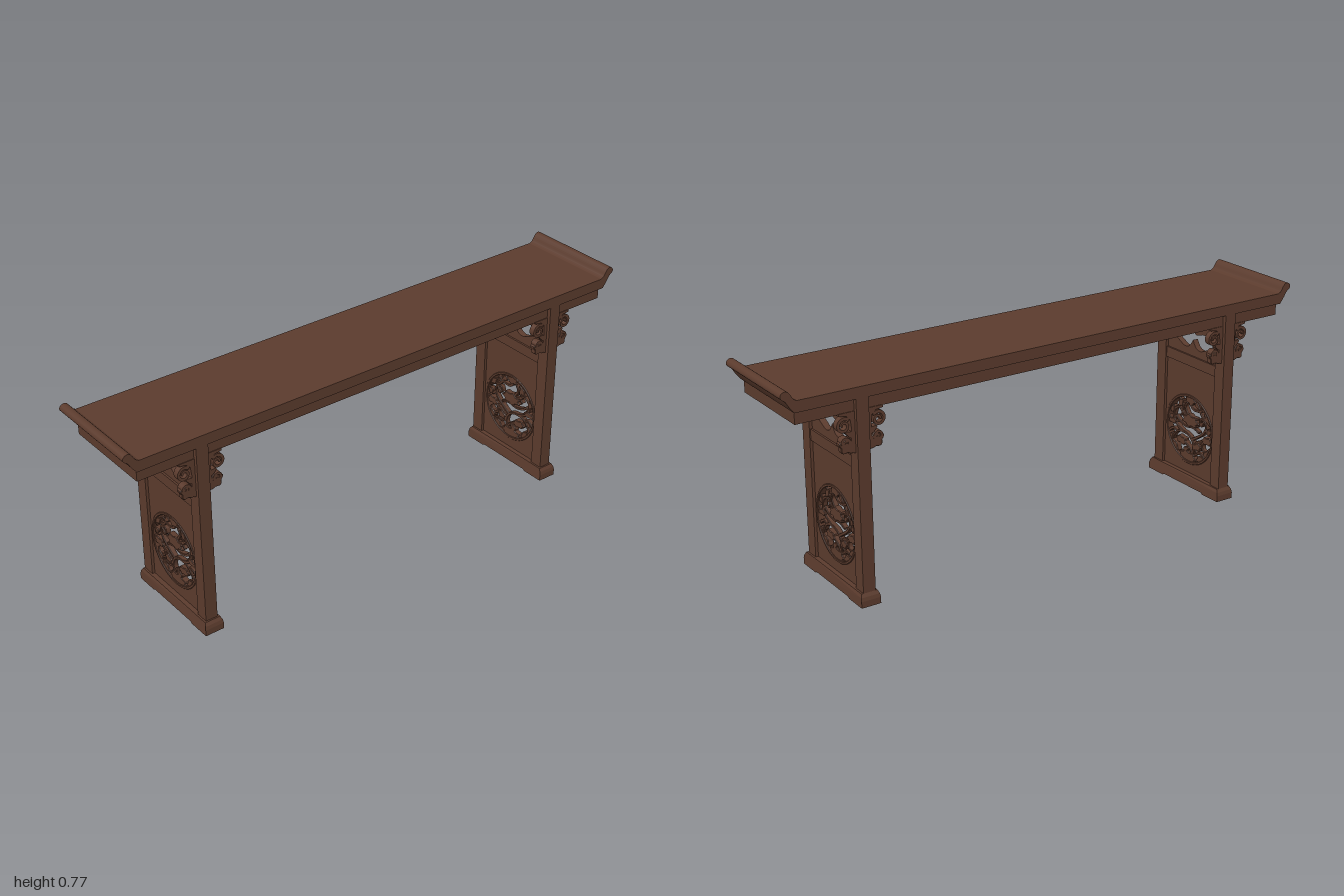
import * as THREE from 'three';

const wood = new THREE.MeshStandardMaterial({ color: 0x5b3b2d });
wood.name = 'dark wood';
const V = (x, y) => new THREE.Vector2(x, y);

function add(parent, name, geometry, x = 0, y = 0, z = 0) {
  const mesh = new THREE.Mesh(geometry, wood);
  mesh.name = name;
  mesh.position.set(x, y, z);
  parent.add(mesh);
  return mesh;
}
const box = (parent, name, w, h, d, x, y, z) =>
  add(parent, name, new THREE.BoxGeometry(w, h, d), x, y, z);

// Extrusion centred on its depth; bevel softens carved pieces
function plate(shape, depth, bevel = 0) {
  const g = new THREE.ExtrudeGeometry(shape, {
    depth: depth - 2 * bevel, curveSegments: 40, bevelEnabled: bevel > 0,
    bevelThickness: bevel, bevelSize: bevel, bevelOffset: -bevel, bevelSegments: 1,
  });
  return g.translate(0, 0, -depth / 2 + bevel);
}
// Same, turned so that the shape faces the table ends
const endPlate = (shape, depth, bevel) => plate(shape, depth, bevel).rotateY(Math.PI / 2);

// Tapered strip following a smooth path
function ribbon(points, w0, w1, steps = 22) {
  const curve = new THREE.SplineCurve(points);
  const a = [], b = [];
  for (let i = 0; i <= steps; i++) {
    const t = i / steps, p = curve.getPoint(t), d = curve.getTangent(t);
    const w = (w0 + (w1 - w0) * t) / 2;
    a.push(V(p.x - d.y * w, p.y + d.x * w));
    b.unshift(V(p.x + d.y * w, p.y - d.x * w));
  }
  return new THREE.Shape([...a, ...b]);
}
// Lobed leaf or blossom outline
function blossom(cx, cy, rx, ry, turn, lobes) {
  const pts = [];
  for (let i = 0; i < 36; i++) {
    const t = (i / 36) * Math.PI * 2, r = 0.9 + 0.13 * Math.cos(lobes * t);
    const x = Math.cos(t) * rx * r, y = Math.sin(t) * ry * r;
    pts.push(V(cx + x * Math.cos(turn) - y * Math.sin(turn), cy + x * Math.sin(turn) + y * Math.cos(turn)));
  }
  return new THREE.Shape(pts);
}
function spiral(cx, cy, r0, r1, start, sweep) {
  return Array.from({ length: 14 }, (_, i) => {
    const t = i / 13, a = start + sweep * t, r = r0 + (r1 - r0) * t;
    return V(cx + Math.cos(a) * r, cy + Math.sin(a) * r);
  });
}
const rect = (x, y0, y1) => new THREE.Shape([V(-x, y0), V(x, y0), V(x, y1), V(-x, y1)]);

// Medallion carving, in hundredths of the medallion radius
const R = 0.133, CY = 0.213;
const stems = [
  [[5, -78], [16, -55], [10, -32], [-10, -18], [-40, -16], [-62, -28], [-76, -52]],
  [[8, -28], [30, -14], [52, 2], [64, 22], [58, 40], [42, 42], [38, 28]],
  [[-30, -16], [-58, -2], [-72, 20], [-66, 42], [-48, 50], [-36, 38], [-44, 28]],
  [[-92, 12], [-70, 2], [-62, 22], [-48, 12], [-20, 4], [10, 8], [36, 0]],
  [[-50, 78], [-34, 62], [-36, 44], [-20, 36], [0, 34]],
  [[-8, 78], [8, 62], [34, 62], [52, 70], [70, 60]],
  [[40, 88], [38, 68], [46, 52], [66, 44], [86, 32]],
  [[94, -8], [70, -12], [52, -26], [54, -44], [72, -46], [80, -34]],
  [[50, -26], [32, -28], [20, -44], [30, -60], [48, -58], [62, -66]],
  [[-40, -40], [-20, -46], [0, -56], [10, -72]],
  [[-88, -28], [-72, -18], [-56, -22]],
  [[62, 20], [74, 8], [90, 8]],
  [[-10, 36], [-24, 58], [-16, 74]],
];
const leaves = [
  [0, 25, 36, 18, 0, 7], [-2, 84, 22, 13, 0, 5], [72, -13, 23, 12, 0.1, 6],
  [-35, -42, 24, 12, -0.15, 6], [33, -42, 16, 12, 0.3, 5], [-74, 4, 20, 9, 0.1, 5],
  [-80, -44, 12, 9, 1, 3], [-42, 66, 17, 9, 0.9, 4], [28, 76, 14, 8, -0.7, 3],
  [70, 50, 18, 8, -0.8, 4], [-76, 38, 13, 8, 1.3, 3], [-60, -64, 18, 9, -0.8, 4],
  [46, -74, 18, 10, 0.5, 4], [-6, -82, 38, 17, 0, 7], [70, -52, 14, 9, 1, 3],
  [80, 16, 10, 9, 0.4, 3], [-14, -62, 14, 8, 0.5, 3], [48, 30, 12, 7, 0.8, 3],
];

function medallion(parent) {
  const g = new THREE.Group();
  g.name = 'carvedMedallion';
  g.position.y = CY;
  parent.add(g);
  const ring = new THREE.Shape().absarc(0, 0, R, 0, Math.PI * 2);
  ring.holes.push(new THREE.Path().absarc(0, 0, R * 0.925, 0, Math.PI * 2));
  add(g, 'medallionRing', endPlate(ring, 0.03, 0.002));
  const s = R / 100;
  for (const p of stems)
    add(g, 'vineStem', endPlate(ribbon(p.map(([x, y]) => V(x * s, y * s)), 0.011, 0.008), 0.018, 0.0015));
  for (const [x, y, rx, ry, turn, n] of leaves)
    add(g, 'vineLeaf', endPlate(blossom(x * s, y * s, rx * s, ry * s, turn, n), 0.022, 0.002));
}

// Cloud-shaped bracket beside a leg; grows towards +x
function bracket(parent, x, z, side) {
  const g = new THREE.Group();
  g.name = 'scrollBracket';
  g.position.set(x, 0, z);
  g.rotation.y = side > 0 ? 0 : Math.PI;
  parent.add(g);
  const T = 0.021;
  const web = new THREE.Shape([V(0, 0.519), V(0.01, 0.522), V(0.014, 0.56), V(0.012, 0.6),
    V(0.016, 0.632), V(0.03, 0.645), V(0.055, 0.648), V(0.055, 0.656), V(0, 0.656)]);
  add(g, 'bracketWeb', plate(web, T));
  add(g, 'upperScroll', plate(ribbon(spiral(0.038, 0.614, 0.025, 0.006, 2.4, -9), 0.011, 0.007, 44), T));
  add(g, 'lowerLobe', plate(blossom(0.027, 0.546, 0.031, 0.027, 0.4, 5), T, 0.002));
  add(g, 'lowerScroll', plate(ribbon(spiral(0.037, 0.56, 0.016, 0.005, 3.6, -6.5), 0.009, 0.006, 36), T + 0.004));
  add(g, 'scrollNeck', plate(blossom(0.018, 0.584, 0.016, 0.01, 0.5, 3), T));
}

function endSupport(parent, x) {
  const g = new THREE.Group();
  g.name = 'endSupport';
  g.position.x = x;
  parent.add(g);

  // Foot with a shallow recess below and a tapered top
  const foot = endPlate(new THREE.Shape([V(-0.193, 0), V(-0.112, 0), V(-0.105, 0.005), V(0.105, 0.005),
    V(0.112, 0), V(0.193, 0), V(0.193, 0.022), V(0.19, 0.034), V(0.183, 0.045),
    V(-0.183, 0.045), V(-0.19, 0.034), V(-0.193, 0.022)]), 0.07);
  const p = foot.attributes.position;
  for (let i = 0; i < p.count; i++) {
    const y = p.getY(i);
    if (y > 0.03) p.setX(i, p.getX(i) * (y > 0.04 ? 0.82 : 0.95));
  }
  foot.computeVertexNormals();
  add(g, 'foot', foot.scale(1, 1, 1.016), 0, 0, 0.003);

  for (const s of [-1, 1]) {
    box(g, 'leg', 0.044, 0.655, 0.047, 0, 0.3725, s * 0.16);
    for (const side of [-1, 1]) bracket(g, side * 0.022, s * 0.161, side);
  }
  box(g, 'topRail', 0.036, 0.034, 0.276, 0, 0.641, 0);
  box(g, 'middleRail', 0.036, 0.039, 0.276, 0, 0.4775, 0);

  // Upper panel with a cloud-shaped opening
  const half = new THREE.SplineCurve([[0, 122], [5, 126], [10, 128], [18, 126], [28, 123], [39, 125],
    [45, 131], [52, 135], [52, 142], [44, 145], [34, 150], [22, 155], [11, 153], [5, 147], [0, 139]]
    .map(([u, v]) => V(-u / 492, (413 - v) / 492))).getPoints(50);
  const mirrored = half.slice(1, -1).reverse().map((q) => V(-q.x, q.y));
  const upper = rect(0.138, 0.495, 0.627);
  upper.holes.push(new THREE.Path([...half, ...mirrored]));
  add(g, 'upperPanel', endPlate(upper, 0.022));

  // Lower panel with a round carved opening
  const lower = rect(0.138, 0.043, 0.46);
  lower.holes.push(new THREE.Path().absarc(0, CY, R - 0.003, 0, Math.PI * 2));
  add(g, 'lowerPanel', endPlate(lower, 0.024));
  medallion(g);
}

export function createModel() {
  const table = new THREE.Group();
  table.name = 'altarTable';
  const body = new THREE.Group();
  body.name = 'tableBody';
  body.position.z = -0.003;
  table.add(body);

  // Table top with upturned, rolled ends
  const roll = new THREE.SplineCurve([V(0.945, 0.735), V(0.957, 0.742), V(0.966, 0.757), V(0.975, 0.767),
    V(0.986, 0.769), V(0.996, 0.764), V(1, 0.754), V(0.995, 0.745), V(0.984, 0.737),
    V(0.972, 0.718), V(0.956, 0.697)]).getPoints(36);
  const left = roll.slice().reverse().map((q) => V(-q.x, q.y));
  add(body, 'tableTop', plate(new THREE.Shape([...roll, ...left]), 0.367));

  // Apron frame beneath the top
  for (const s of [-1, 1]) {
    box(body, 'longApron', 1.9, 0.044, 0.022, 0, 0.676, s * 0.158);
    box(body, 'endApron', 0.022, 0.044, 0.3, s * 0.939, 0.676, 0);
    endSupport(body, s * 0.728);
  }
  return table;
}
